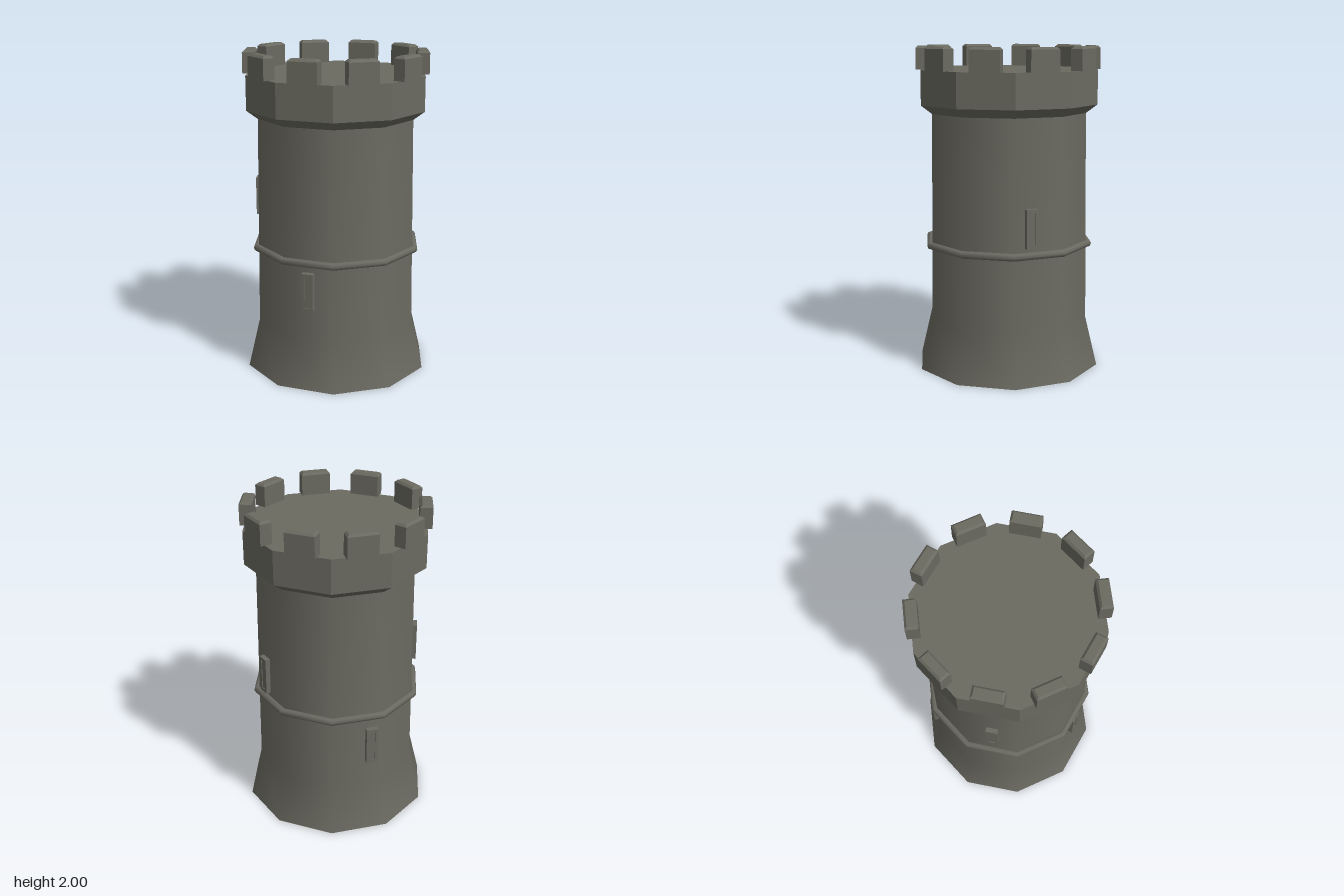
import * as THREE from 'three';

const SIDES = 10;
const stone = new THREE.MeshStandardMaterial({ color: 0x6b6a61 });
stone.name = 'stone';

// Give every face its own normal for crisp masonry edges
function faceted(geometry) {
  const g = geometry.toNonIndexed();
  g.computeVertexNormals();
  return g;
}

function part(name, geometry, parent) {
  const mesh = new THREE.Mesh(geometry, stone);
  mesh.name = name;
  parent.add(mesh);
  return mesh;
}

// Ten-sided prism with corners on the x axis
function drum(bottomR, topR, y0, y1, open) {
  const g = new THREE.CylinderGeometry(topR, bottomR, y1 - y0, SIDES, 1, open, Math.PI / 2);
  return faceted(g.translate(0, (y0 + y1) / 2, 0));
}

// Battlement block standing on y = 0, with a chamfered top
function merlonGeometry() {
  const w = 0.18, h = 0.14, d = 0.075, chamfer = 0.013;
  const g = new THREE.BoxGeometry(w, h, d, 1, 2, 1).translate(0, h / 2, 0);
  const p = g.attributes.position;
  for (let i = 0; i < p.count; i++) {
    const y = p.getY(i);
    if (y > h * 0.9) {
      p.setX(i, p.getX(i) - Math.sign(p.getX(i)) * chamfer);
      p.setZ(i, p.getZ(i) - Math.sign(p.getZ(i)) * chamfer);
    } else if (y > h * 0.1) p.setY(i, h - chamfer);
  }
  return faceted(g);
}

function rectangle(PathType, w, h) {
  const x = w / 2, y = h / 2;
  return new PathType([[-x, -y], [x, -y], [x, y], [-x, y]].map(([a, b]) => new THREE.Vector2(a, b)));
}

// Narrow slot: raised frame around a slightly recessed panel
function arrowSlot() {
  const slot = new THREE.Group();
  const frame = rectangle(THREE.Shape, 0.073, 0.235);
  frame.holes.push(rectangle(THREE.Path, 0.035, 0.195));
  part('slotFrame', new THREE.ExtrudeGeometry(frame, { depth: 0.035, bevelEnabled: false }), slot);
  part('slotPanel', new THREE.BoxGeometry(0.037, 0.197, 0.03).translate(0, 0, 0.015), slot);
  return slot;
}

export function createModel() {
  const tower = new THREE.Group();
  tower.name = 'tower';

  // Smooth shaft with a flared foot
  const profile = [[0.58, 0], [0.505, 0.31], [0.49, 1.61]].map(([r, y]) => new THREE.Vector2(r, y));
  part('shaft', new THREE.LatheGeometry(profile, SIDES, Math.PI / 2), tower);
  part('underside', new THREE.CircleGeometry(0.58, SIDES).rotateX(Math.PI / 2), tower);

  // Moulding around the middle
  const ring = new THREE.TorusGeometry(0.511, 0.023, 8, SIDES).rotateX(Math.PI / 2);
  part('beltRing', ring.translate(0, 0.788, 0), tower);

  // Overhanging crown and roof
  part('crownFlare', drum(0.49, 0.56, 1.597, 1.65, true), tower);
  part('crown', drum(0.56, 0.56, 1.65, 1.86, false), tower);

  // One merlon at the middle of each crown face
  const merlon = merlonGeometry();
  for (let i = 0; i < SIDES; i++) {
    const a = (i / SIDES) * Math.PI * 2;
    const m = part('merlon', merlon, tower);
    m.position.set(Math.sin(a) * 0.523, 1.86, Math.cos(a) * 0.523);
    m.rotation.y = a;
  }

  // Slots: face turn in degrees, sideways shift, height, distance out
  const slots = [
    [0, 0, 0.612, 0.476],
    [144, 0.05, 0.95, 0.468],
    [216, 0.09, 0.585, 0.474],
    [288, 0, 1.085, 0.464],
  ];
  for (const [deg, shift, y, out] of slots) {
    const a = THREE.MathUtils.degToRad(deg);
    const s = arrowSlot();
    s.name = 'arrowSlot';
    s.rotation.y = a;
    const side = deg === 144 ? -shift : shift;
    s.position.set(Math.sin(a) * out + Math.cos(a) * side, y, Math.cos(a) * out - Math.sin(a) * side);
    tower.add(s);
  }
  return tower;
}
